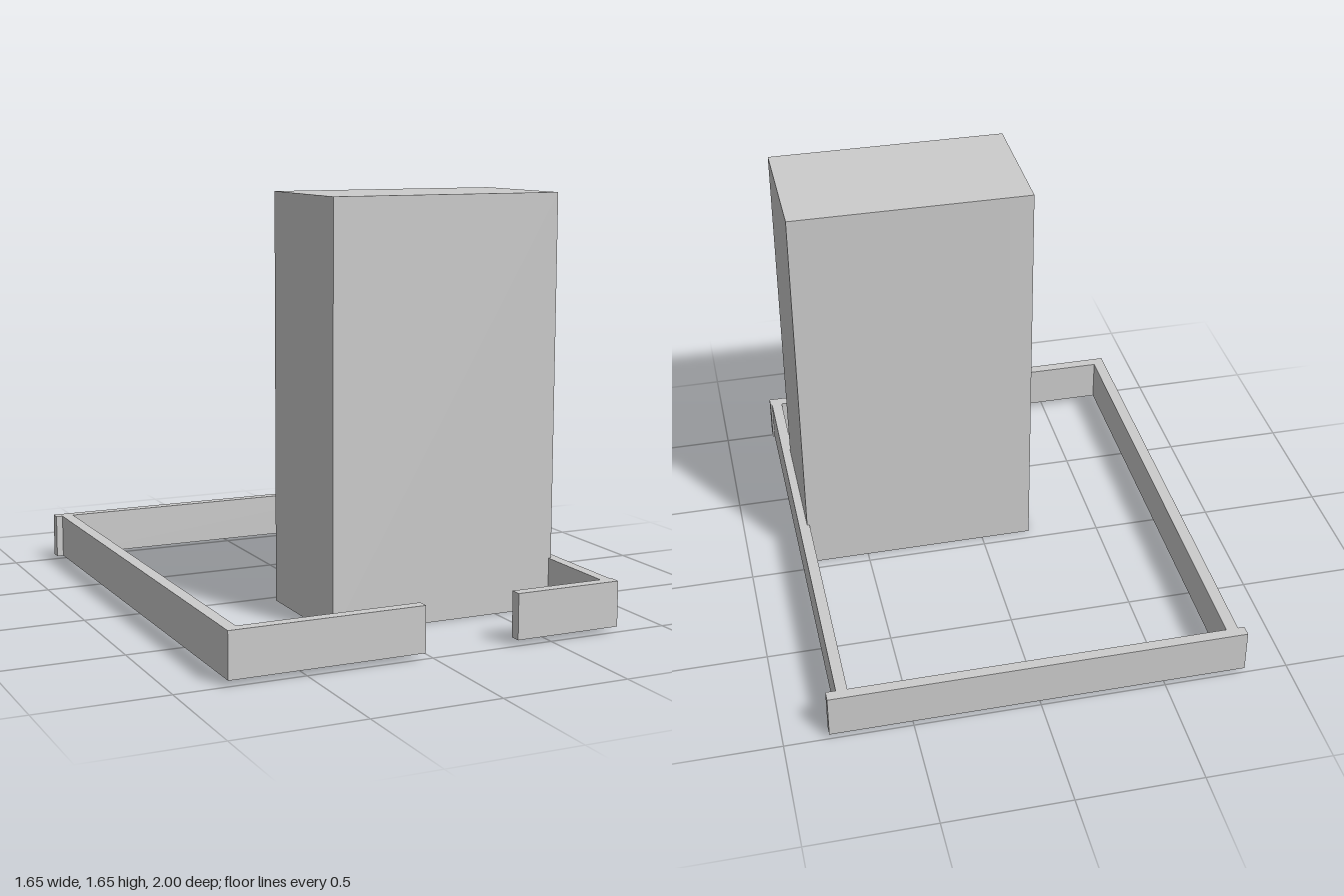
import * as THREE from 'three';

export function createModel() {
  const group = new THREE.Group();
  const material = new THREE.MeshStandardMaterial({ color: 0xcccccc, flatShading: true });

  // Box given by its extents along each axis
  function addBox(name, [x0, x1], [y0, y1], [z0, z1]) {
    const mesh = new THREE.Mesh(new THREE.BoxGeometry(x1 - x0, y1 - y0, z1 - z0), material);
    mesh.position.set((x0 + x1) / 2, (y0 + y1) / 2, (z0 + z1) / 2);
    mesh.name = name;
    group.add(mesh);
  }

  // Tall block standing inside the enclosure
  addBox('building', [-0.207, 0.752], [0, 1.65], [0.045, 0.587]);

  // Low perimeter wall with an opening at the front
  const wallHeight = [0.022, 0.2];
  addBox('backWall', [-0.825, 0.825], wallHeight, [-1, -0.957]);
  addBox('rightWall', [-0.798, -0.75], wallHeight, [-0.957, 0.955]);
  addBox('leftWall', [0.742, 0.786], wallHeight, [-0.957, 0.955]);
  addBox('frontWallRight', [-0.798, -0.03], wallHeight, [0.955, 1]);
  addBox('frontWallLeft', [0.357, 0.793], wallHeight, [0.955, 1]);

  return group;
}
